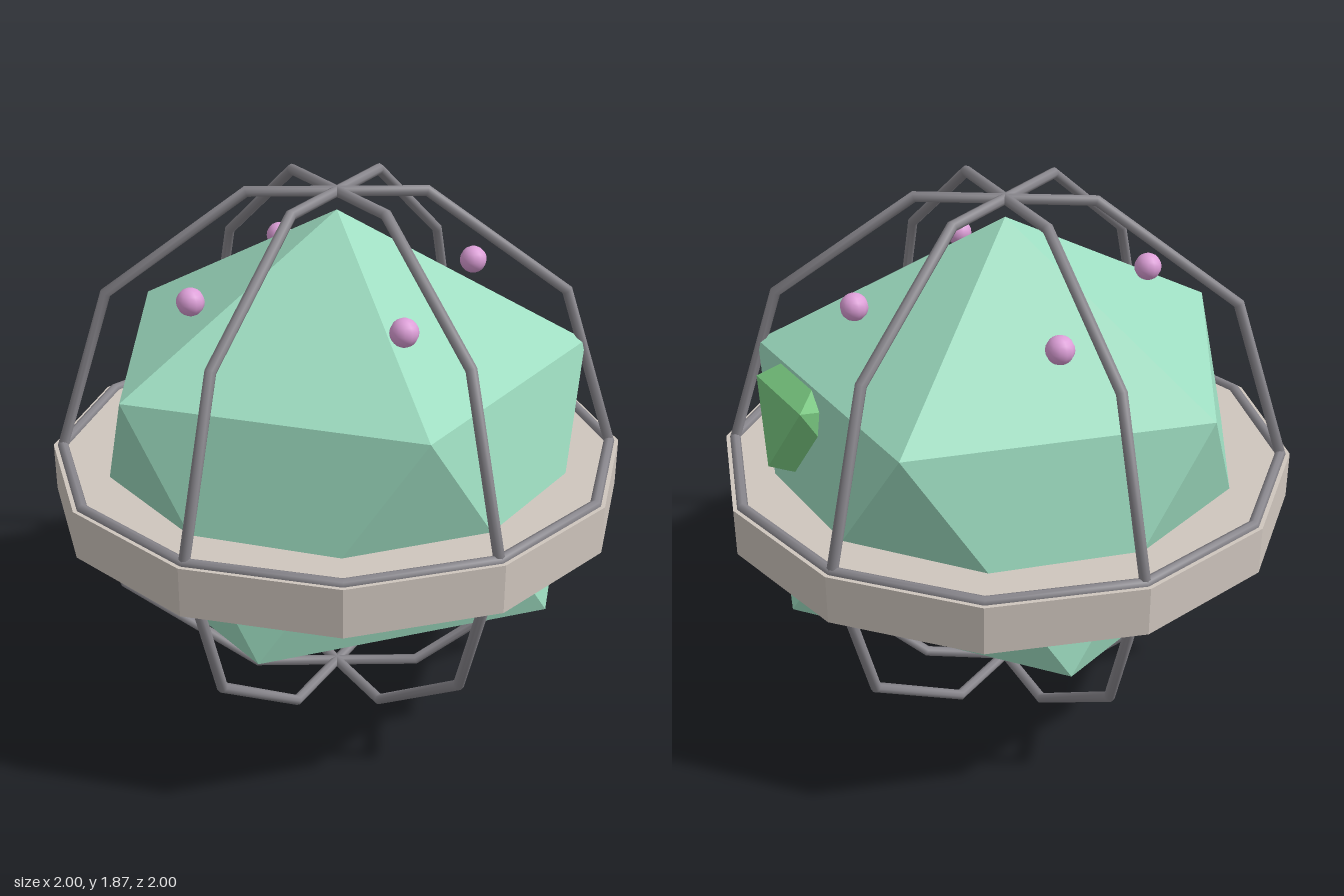
import * as THREE from 'three';
import { ConvexGeometry } from 'three/addons/geometries/ConvexGeometry.js';

const CENTRE_Y = 0.94;

const material = (color, flatShading = false) => new THREE.MeshStandardMaterial({ color, flatShading });

// Twenty-sided gem: two poles and two staggered rings of five
function gemGeometry(size) {
  const points = [new THREE.Vector3(0, size, 0), new THREE.Vector3(0, -size, 0)];
  for (let i = 0; i < 10; i++) {
    const a = (i * Math.PI) / 5;
    const y = (i % 2 ? -0.45 : 0.45) * size;
    points.push(new THREE.Vector3(Math.cos(a) * size, y, Math.sin(a) * size));
  }
  return new ConvexGeometry(points);
}

export function createModel() {
  const group = new THREE.Group();
  const metal = material(0x88868c);

  function add(name, geometry, mat, x = 0, y = CENTRE_Y, z = 0) {
    const mesh = new THREE.Mesh(geometry, mat);
    mesh.name = name;
    mesh.position.set(x, y, z);
    group.add(mesh);
    return mesh;
  }

  // Large gem, and a small one set into its right-hand facet
  add('coreGem', gemGeometry(0.856), material(0x9ddcc0, true));
  add('sideGem', gemGeometry(0.285), material(0x78c880, true), 0.548, 1.138, -0.155);

  // Twelve-sided belt plate
  add('beltPlate', new THREE.CylinderGeometry(1, 1, 0.17, 12), material(0xcfc6be, true), 0, 0.855, 0);

  // Rim bar lying on the plate
  const rim = add('rimBar', new THREE.TorusGeometry(0.967, 0.019, 8, 12), metal);
  rim.rotation.x = Math.PI / 2;

  // Cage of three upright ten-sided hoops
  const hoop = new THREE.TorusGeometry(0.966, 0.019, 8, 10);
  for (let i = 0; i < 3; i++) {
    add('cageHoop', hoop, metal).rotation.y = (i * Math.PI) / 3;
  }

  // Four beads around the top
  const bead = new THREE.SphereGeometry(0.047, 12, 10);
  const pink = material(0xdd9fd8);
  let [x, z] = [0.48, -0.2];
  for (let i = 0; i < 4; i++) {
    add('bead', bead, pink, x, 1.55, z);
    [x, z] = [-z, x];
  }

  return group;
}
